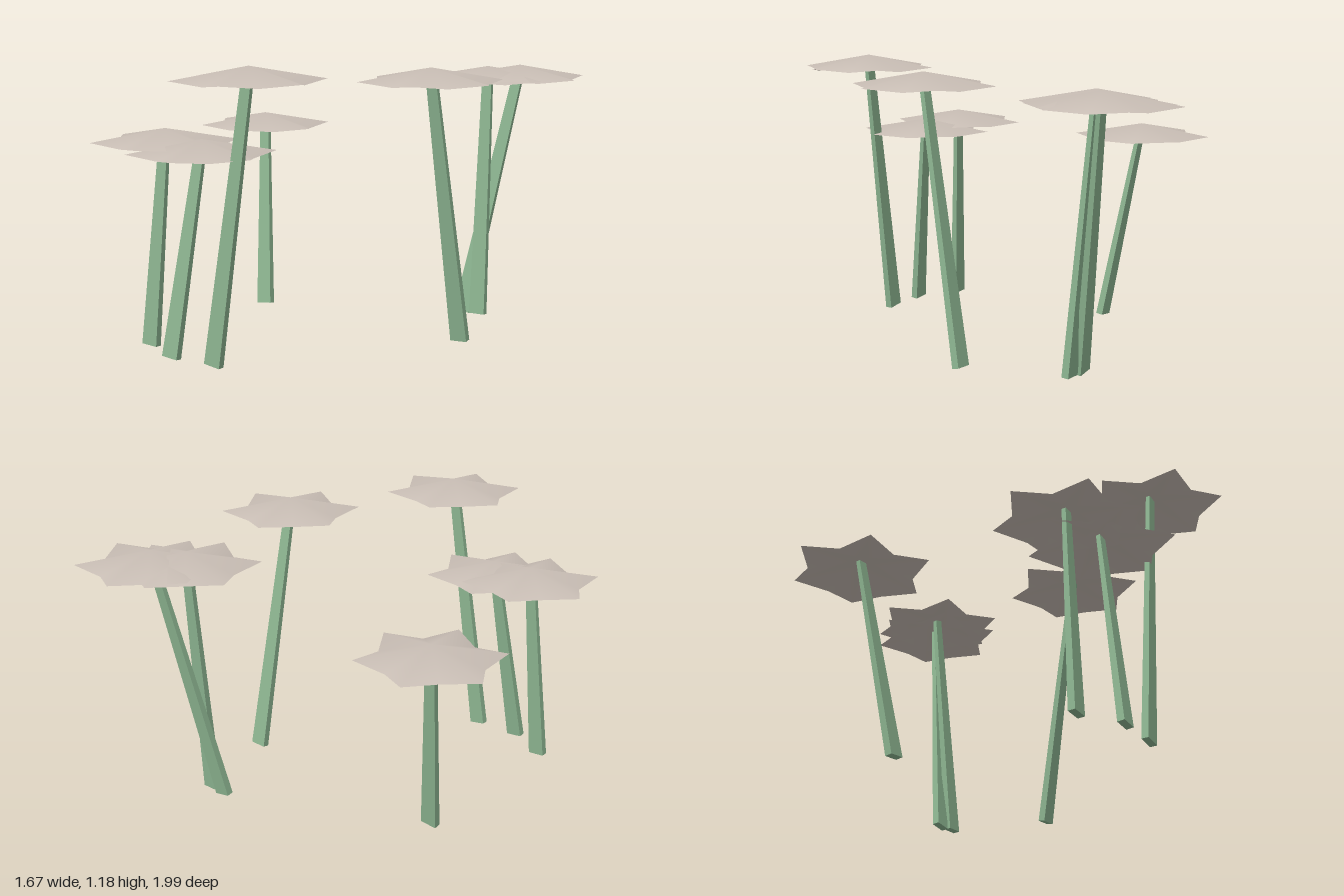
import * as THREE from 'three';

// Thin star-shaped cap: raised centre, six up-curled tips, lower notches between
function capGeometry() {
  const pos = [0, 0, 0], index = [];
  for (let i = 0; i < 12; i++) {
    const tip = i % 2 === 0;
    const a = THREE.MathUtils.degToRad(15 + i * 30);
    const r = tip ? 0.298 : 0.216;
    pos.push(Math.cos(a) * r, tip ? -0.052 : -0.067, Math.sin(a) * r);
    index.push(0, 1 + ((i + 1) % 12), 1 + i);
  }
  const g = new THREE.BufferGeometry();
  g.setAttribute('position', new THREE.Float32BufferAttribute(pos, 3));
  g.setIndex(index);
  g.computeVertexNormals();
  return g;
}

// Flat stem that narrows towards the top
function stemGeometry(length) {
  const g = new THREE.BoxGeometry(0.073, length, 0.03);
  const p = g.attributes.position;
  for (let i = 0; i < p.count; i++) {
    if (p.getY(i) > 0) p.setXYZ(i, p.getX(i) * 0.6, p.getY(i), p.getZ(i) * 0.6);
  }
  g.translate(0, length / 2, 0);
  g.computeVertexNormals();
  return g;
}

export function createModel() {
  const model = new THREE.Group();
  model.name = 'flowerCluster';

  const petalMat = new THREE.MeshStandardMaterial({ color: 0xc9beb5, side: THREE.DoubleSide });
  petalMat.name = 'pale petal';
  const stemMat = new THREE.MeshStandardMaterial({ color: 0x8db591 });
  stemMat.name = 'green stem';

  // Cap centre x, y, z, then stem foot x, z
  const flowers = [
    [-0.553, 0.875, -0.318, -0.465, -0.18],
    [-0.42, 0.902, 0.576, -0.475, 0.625],
    [-0.209, 0.876, 0.613, -0.29, 0.725],
    [0.085, 1.178, 0.705, -0.085, 0.72],
    [0.52, 1.15, 0.093, 0.568, -0.105],
    [0.545, 1.113, -0.705, 0.37, -0.535],
    [0.431, 1.108, -0.62, 0.449, -0.525],
  ];

  const capGeo = capGeometry();
  const up = new THREE.Vector3(0, 1, 0);
  for (const [x, y, z, fx, fz] of flowers) {
    const flower = new THREE.Group();
    flower.name = 'flower';

    const cap = new THREE.Mesh(capGeo, petalMat);
    cap.name = 'petals';
    cap.position.set(x, y, z);

    const foot = new THREE.Vector3(fx, 0.01, fz);
    const dir = new THREE.Vector3(x, y - 0.015, z).sub(foot);
    const stem = new THREE.Mesh(stemGeometry(dir.length()), stemMat);
    stem.name = 'stem';
    stem.position.copy(foot);
    stem.quaternion.setFromUnitVectors(up, dir.normalize());

    flower.add(cap, stem);
    model.add(flower);
  }
  return model;
}
